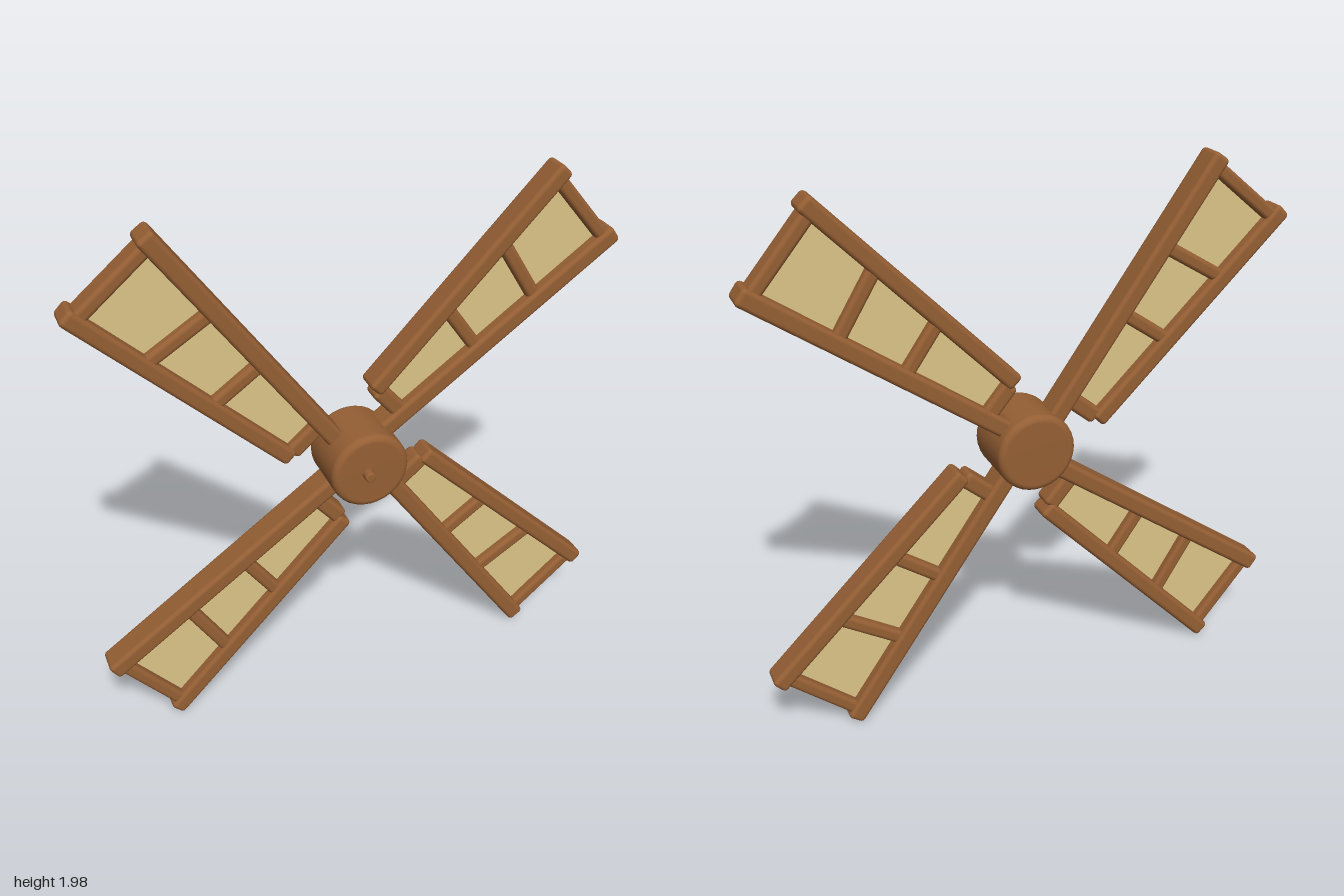
import * as THREE from 'three';
import { RoundedBoxGeometry } from 'three/addons/geometries/RoundedBoxGeometry.js';

export function createModel() {
  const model = new THREE.Group();
  model.name = 'windmillSails';

  const wood = new THREE.MeshStandardMaterial({ color: 0x955f34 });
  wood.name = 'brownWood';
  const cloth = new THREE.MeshStandardMaterial({ color: 0xdcc488 });
  cloth.name = 'tanCloth';

  const PLANE_Z = -0.045; // middle of the sail frames

  // Rounded timber running between two points of the sail plane
  function beam(name, [x1, y1], [x2, y2], width, depth) {
    const length = Math.hypot(x2 - x1, y2 - y1);
    const mesh = new THREE.Mesh(new RoundedBoxGeometry(length, width, depth, 3, 0.016), wood);
    mesh.name = name;
    mesh.position.set((x1 + x2) / 2, (y1 + y2) / 2, PLANE_Z);
    mesh.rotation.z = Math.atan2(y2 - y1, x2 - x1);
    return mesh;
  }

  // One sail, laid out from the hub centre towards the upper right
  function createSail() {
    const sail = new THREE.Group();
    sail.add(beam('spar', [0.06, 0.065], [0.975, 0.705], 0.066, 0.106));
    sail.add(beam('outerRail', [0.058, 0.258], [0.757, 0.972], 0.062, 0.1));

    // Crossbars: [end on the rail, end on the spar, width]
    const bars = [
      ['innerBar', [0.074, 0.254], [0.165, 0.145], 0.062],
      ['crossbar', [0.33, 0.525], [0.455, 0.345], 0.05],
      ['crossbar', [0.535, 0.735], [0.675, 0.505], 0.05],
      ['endBar', [0.727, 0.94], [0.935, 0.69], 0.05],
    ];
    for (const [name, a, b, width] of bars) sail.add(beam(name, a, b, width, 0.084));

    // Cloth stretched inside the frame
    const shape = new THREE.Shape([
      [0.165, 0.145], [0.935, 0.69], [0.727, 0.94], [0.074, 0.254],
    ].map(([x, y]) => new THREE.Vector2(x, y)));
    const panel = new THREE.Mesh(
      new THREE.ExtrudeGeometry(shape, { depth: 0.02, bevelEnabled: false }), cloth);
    panel.name = 'sailCloth';
    panel.position.z = PLANE_Z - 0.01;
    sail.add(panel);
    return sail;
  }

  const rotor = new THREE.Group();
  rotor.name = 'rotor';
  rotor.position.y = 1;
  model.add(rotor);

  for (let i = 0; i < 4; i++) {
    const sail = createSail();
    sail.name = 'sail' + (i + 1);
    sail.rotation.z = -i * Math.PI / 2;
    rotor.add(sail);
  }

  // Round solid with softened rims, its axis along z
  function roundSolid(name, radius, back, front, rim) {
    const points = [new THREE.Vector2(0, back)];
    for (let i = 0; i <= 4; i++) {
      const a = (i / 4) * Math.PI / 2;
      points.push(new THREE.Vector2(radius - rim + rim * Math.sin(a), back + rim - rim * Math.cos(a)));
    }
    for (let i = 0; i <= 4; i++) {
      const a = (i / 4) * Math.PI / 2;
      points.push(new THREE.Vector2(radius - rim + rim * Math.cos(a), front - rim + rim * Math.sin(a)));
    }
    points.push(new THREE.Vector2(0, front));
    const mesh = new THREE.Mesh(new THREE.LatheGeometry(points, 32).rotateX(Math.PI / 2), wood);
    mesh.name = name;
    rotor.add(mesh);
    return mesh;
  }
  roundSolid('hub', 0.146, -0.14, 0.103, 0.025);
  roundSolid('axlePin', 0.02, 0.08, 0.136, 0.006).position.x = -0.015;

  return model;
}
